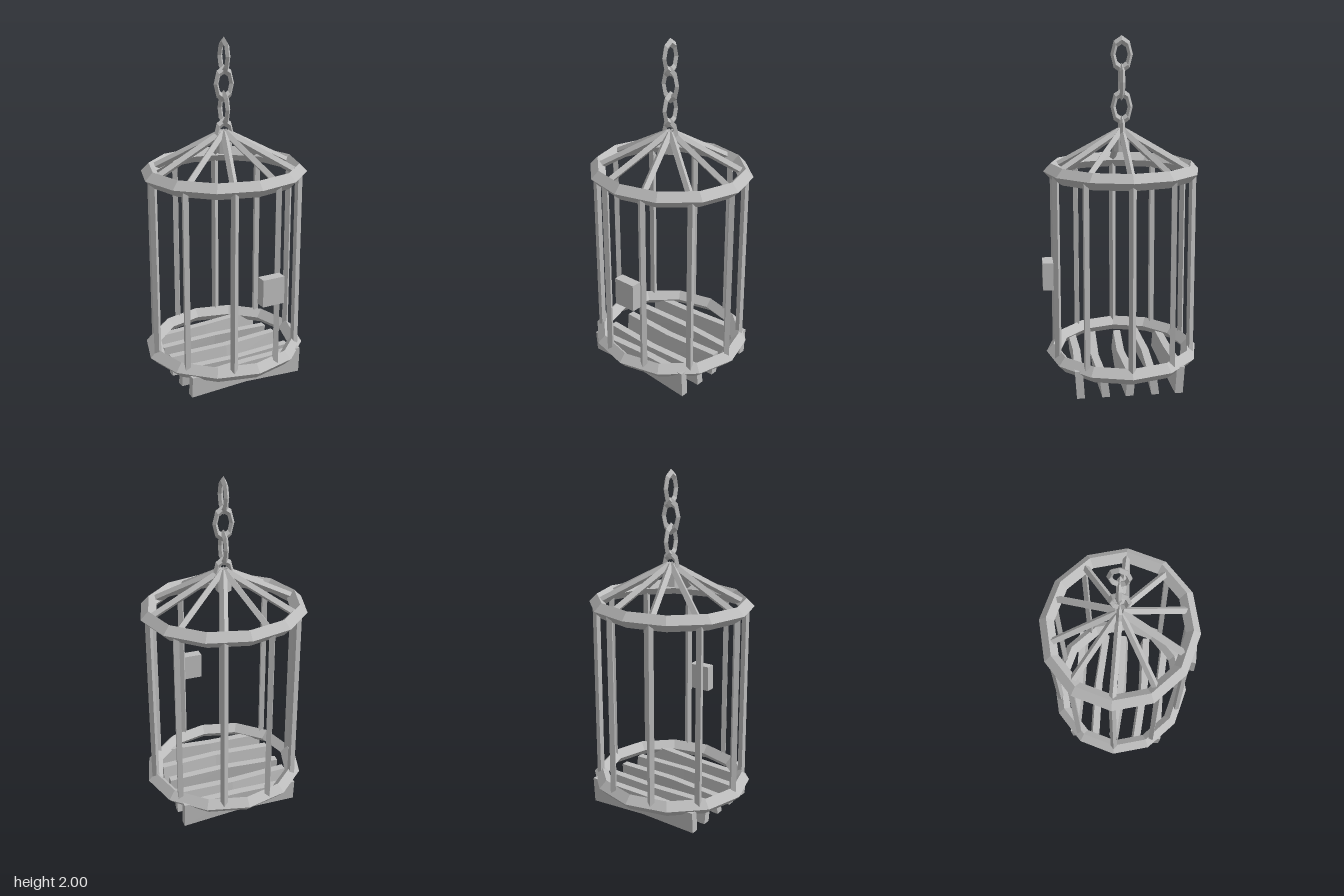
import * as THREE from 'three';

const iron = new THREE.MeshStandardMaterial({ color: 0xbcbcbc, flatShading: true });
iron.name = 'iron';

function add(parent, name, geometry) {
  const mesh = new THREE.Mesh(geometry, iron);
  mesh.name = name;
  parent.add(mesh);
  return mesh;
}

// Four-sided rod with a ridge facing outward, running between two points
function rod(parent, name, a, b, radius) {
  const dir = b.clone().sub(a);
  const geo = new THREE.CylinderGeometry(radius, radius, dir.length(), 4);
  const mesh = add(parent, name, geo);
  mesh.position.copy(a).add(b).multiplyScalar(0.5);
  mesh.quaternion.setFromUnitVectors(new THREE.Vector3(0, 1, 0), dir.normalize());
  return mesh;
}

// Plank bent at its middle: z at left end, middle and right end, lean of the top, top height at both ends
function plank(z, lean, tops) {
  const geo = new THREE.BoxGeometry(0.71, 1, 0.045, 2, 1, 1);
  const p = geo.attributes.position;
  for (let i = 0; i < p.count; i++) {
    const x = p.getX(i);
    const station = Math.round(x / 0.355) + 1;
    const up = p.getY(i) > 0;
    const top = THREE.MathUtils.lerp(tops[0], tops[1], station / 2);
    const bottom = station === 1 ? 0.018 : station === 2 ? 0.003 : 0.012;
    p.setY(i, up ? top : bottom);
    p.setZ(i, p.getZ(i) + z[station] + (up ? lean / 2 : -lean / 2));
  }
  return geo;
}

export function createModel() {
  const model = new THREE.Group();
  model.name = 'hangingCage';

  // Slightly oval cage body
  const cage = new THREE.Group();
  cage.name = 'cage';
  cage.position.z = -0.008;
  cage.scale.z = 0.93;
  model.add(cage);

  for (const [name, y] of [['bottomRing', 0.155], ['topRing', 1.242]]) {
    const ring = add(cage, name, new THREE.TorusGeometry(0.44, 0.046, 4, 12).rotateX(Math.PI / 2));
    ring.position.y = y;
  }

  // Ten upright bars and ten roof spokes
  for (let i = 0; i < 10; i++) {
    const spoke = new THREE.Group();
    spoke.rotation.y = (i * Math.PI) / 5;
    spoke.name = 'barAndSpoke';
    cage.add(spoke);
    rod(spoke, 'bar', new THREE.Vector3(0.44, 0.16, 0), new THREE.Vector3(0.44, 1.25, 0), 0.022);
    rod(spoke, 'roofSpoke', new THREE.Vector3(0.425, 1.25, 0), new THREE.Vector3(0.015, 1.465, 0), 0.022);
  }

  // Hub under the roof peak
  const hub = add(model, 'hub', new THREE.CylinderGeometry(0.045, 0.045, 0.1, 6));
  hub.position.set(0, 1.4, -0.008);

  // Chain of oval links, each turned a quarter from the last
  [1.895, 1.742, 1.603, 1.45].forEach((y, i) => {
    const geo = new THREE.TorusGeometry(0.049, 0.015, 4, 8).scale(1, 1.64, 1);
    const link = add(model, 'chainLink', geo);
    link.position.set(0, y, -0.008);
    link.rotation.y = i % 2 ? 0 : Math.PI / 2;
  });

  // Lock on the front bar
  const lock = add(model, 'lock', new THREE.BoxGeometry(0.135, 0.16, 0.06));
  lock.position.set(0.068, 0.655, 0.431);

  // Rough floor planks
  const planks = [
    [[-0.28, -0.28, -0.295], -0.01, [0.14, 0.16]],
    [[-0.145, -0.16, -0.145], 0.018, [0.14, 0.13]],
    [[-0.018, 0.005, -0.012], -0.012, [0.13, 0.14]],
    [[0.13, 0.152, 0.135], 0.016, [0.13, 0.13]],
    [[0.268, 0.26, 0.275], 0.01, [0.14, 0.165]],
  ];
  for (const [z, lean, tops] of planks) add(model, 'floorPlank', plank(z, lean, tops));

  return model;
}
